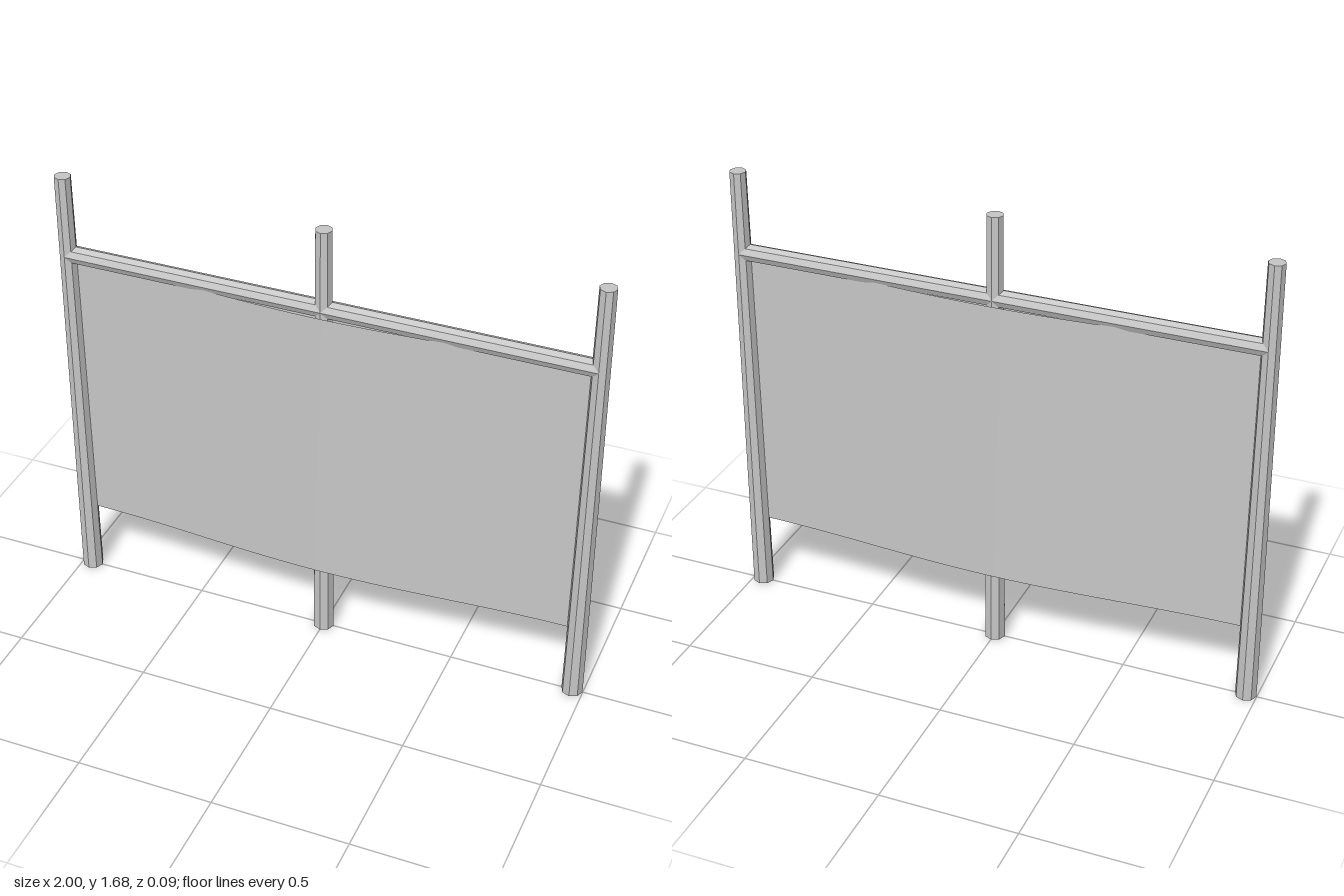
import * as THREE from 'three';

const POST_X = 0.96;

// Separate the faces so that every side is shaded flat
function flat(geometry) {
  const g = geometry.toNonIndexed();
  g.computeVertexNormals();
  return g;
}

export function createModel() {
  const group = new THREE.Group();
  const grey = new THREE.MeshStandardMaterial({ color: 0xc8c8c8 });
  grey.name = 'grey';
  const sheetGrey = new THREE.MeshStandardMaterial({ color: 0xc8c8c8, side: THREE.DoubleSide });
  sheetGrey.name = 'sheet grey';

  const add = (name, geometry, material) => {
    const mesh = new THREE.Mesh(geometry, material);
    mesh.name = name;
    group.add(mesh);
    return mesh;
  };

  // Three tapered eight-sided posts, closed on top and open underneath
  const profile = [[0.039, 0], [0.03, 1.68], [0, 1.68]].map(p => new THREE.Vector2(...p));
  const postGeometry = flat(new THREE.LatheGeometry(profile, 8));
  for (const [name, x] of [['leftPost', POST_X], ['middlePost', 0], ['rightPost', -POST_X]]) {
    add(name, postGeometry, grey).position.x = x;
  }

  // Eight-sided crossbar running between the outer posts
  const bar = new THREE.CylinderGeometry(0.032, 0.032, 2 * POST_X, 8, 1, true);
  bar.rotateZ(Math.PI / 2);
  add('crossbar', flat(bar), grey).position.y = 1.376;

  // Two cloth sheets that bulge around the middle post
  const bottom = 0.283, top = 1.362;
  for (const [name, side] of [['frontSheet', 1], ['backSheet', -1]]) {
    const sheet = new THREE.PlaneGeometry(2 * POST_X, top - bottom, 24, 1);
    if (side < 0) sheet.rotateY(Math.PI);
    const pos = sheet.attributes.position;
    for (let i = 0; i < pos.count; i++) {
      const bulge = Math.cos((pos.getX(i) / POST_X) * Math.PI / 2) ** 2;
      pos.setZ(i, side * 0.046 * bulge);
    }
    sheet.computeVertexNormals();
    add(name, sheet, sheetGrey).position.y = (top + bottom) / 2;
  }

  return group;
}
